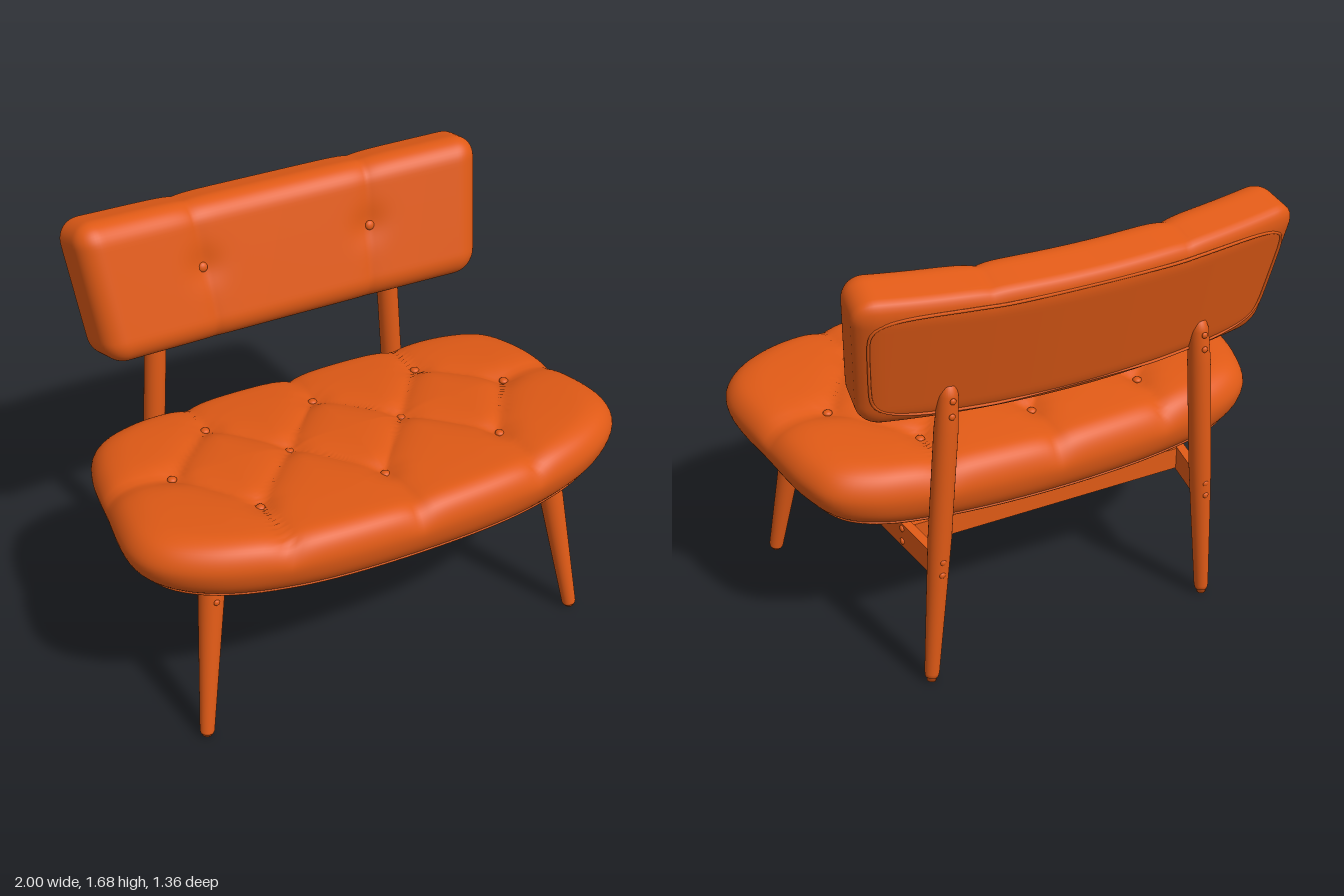
import * as THREE from 'three';
import { mergeVertices } from 'three/addons/utils/BufferGeometryUtils.js';

const V = (x, y, z) => new THREE.Vector3(x, y, z);
const material = new THREE.MeshStandardMaterial({ color: 0xe05a16 });
const { clamp, smoothstep, lerp } = THREE.MathUtils;

function add(parent, name, geometry) {
  const mesh = new THREE.Mesh(geometry, material);
  mesh.name = name;
  parent.add(mesh);
  return mesh;
}

// Small domed stud (button or screw head) facing along a direction
function stud(parent, name, pos, dir, r) {
  const mesh = add(parent, name, new THREE.SphereGeometry(r, 16, 10));
  mesh.position.copy(pos);
  mesh.scale.z = 0.6;
  mesh.lookAt(pos.clone().add(dir));
  return mesh;
}

// Round tapered post from a to b; profile lists [radius, fraction of length]
function post(parent, name, a, b, profile) {
  const length = a.distanceTo(b);
  const pts = profile.map(([r, t]) => new THREE.Vector2(r, t * length));
  const mesh = add(parent, name, new THREE.LatheGeometry(pts, 28));
  mesh.position.copy(a);
  mesh.quaternion.setFromUnitVectors(V(0, 1, 0), b.clone().sub(a).normalize());
}

// Flat wooden rail between two points
function rail(parent, name, a, b, height, thickness) {
  const mesh = add(parent, name, new THREE.BoxGeometry(thickness, height, a.distanceTo(b)));
  mesh.position.copy(a).lerp(b, 0.5);
  mesh.lookAt(b);
}

// Seat tufting: buttons and the seams that join them
const back = [[-0.46, -0.21], [0, -0.21], [0.46, -0.21]];
const middle = [[-0.71, 0.06], [-0.24, 0.075], [0.24, 0.075], [0.71, 0.06]];
const front = [[-0.5, 0.37], [0, 0.385], [0.5, 0.37]];
const seatButtons = [...back, ...middle, ...front];
const seams = [[middle[0], [-1, 0.035]], [middle[3], [1, 0.035]]];
for (let i = 0; i < 3; i++) {
  for (const row of [back, front]) seams.push([row[i], middle[i]], [row[i], middle[i + 1]]);
  seams.push([back[i], [back[i][0], -0.5]], [front[i], [front[i][0] * 1.03, 0.72]]);
}

function seamDistance(x, z, [[ax, az], [bx, bz]]) {
  const dx = bx - ax, dz = bz - az;
  const t = clamp(((x - ax) * dx + (z - az) * dz) / (dx * dx + dz * dz), 0, 1);
  return Math.hypot(x - ax - t * dx, z - az - t * dz);
}

function seatDip(x, z) {
  const d = Math.min(...seams.map((s) => seamDistance(x, z, s)));
  const b = Math.min(...seatButtons.map(([bx, bz]) => Math.hypot(x - bx, z - bz)));
  return 0.024 * Math.exp(-d / 0.05) + 0.016 * Math.exp(-((b / 0.06) ** 2));
}

const seatBase = (x, z) => 0.612 + 0.07 * z + 0.045 * x * x;

// Seat outline in plan, mirrored to a closed curve
function seatOutline(count) {
  const half = [[0, 0.685], [0.5, 0.66], [0.8, 0.58], [0.95, 0.47], [1, 0.35], [0.97, 0.05],
    [0.93, -0.2], [0.87, -0.33], [0.75, -0.4], [0.5, -0.445], [0, -0.465]];
  const mirrored = half.slice(1, -1).reverse().map(([x, z]) => [-x, z]);
  const pts = [...half, ...mirrored].map(([x, z]) => V(x, 0, z));
  return new THREE.CatmullRomCurve3(pts, true).getSpacedPoints(count).slice(0, count);
}

const SEAT_Z = 0.1;

function seatCushion() {
  const n = 180;
  const outline = seatOutline(n);
  // Rings as (scale, height), from the underside centre round to the top centre
  const edge = new THREE.SplineCurve([[0.88, 0], [0.935, 0.025], [0.98, 0.07], [1, 0.13],
    [0.985, 0.18], [0.945, 0.22], [0.88, 0.243], [0.8, 0.25]].map((p) => new THREE.Vector2(...p)));
  const rings = [[0, 0], [0.45, 0], [0.85, 0], ...edge.getPoints(28).map((p) => [p.x, p.y])];
  for (let i = 1; i <= 44; i++) {
    const s = 0.8 * (1 - i / 44);
    rings.push([s, 0.265 - 0.015 * (s / 0.8) ** 2]);
  }
  const pos = [], index = [];
  rings.forEach(([s, h], i) => outline.forEach((p, j) => {
    let x = p.x * s, z = SEAT_Z + (p.z - SEAT_Z) * s;
    const dip = h > 0.08 ? seatDip(x, z) * smoothstep(h, 0.08, 0.23) : 0;
    x *= 1 - dip * 0.4;
    z = SEAT_Z + (z - SEAT_Z) * (1 - dip * 0.4);
    pos.push(x, seatBase(x, z) + h - dip, z);
    if (i === rings.length - 1) return;
    const k = (j + 1) % n, a = i * n, b = a + n;
    index.push(a + j, a + k, b + k, a + j, b + k, b + j);
  }));
  const g = new THREE.BufferGeometry();
  g.setAttribute('position', new THREE.Float32BufferAttribute(pos, 3));
  g.setIndex(index);
  g.computeVertexNormals();
  return g;
}

// Backrest: local pad coordinates bent, tapered and tilted into place
const TILT = -0.26;
function bend(p) {
  p.x *= (1 + 0.12 * p.y) * (1 - 0.15 * p.z);
  p.z += 0.11 * p.x * p.x;
  p.y += 0.03 * p.x * p.x;
  return p.applyAxisAngle(V(1, 0, 0), TILT).add(V(0, 1.37, -0.505));
}

function backPad() {
  const half = V(0.82, 0.275, 0.117);
  let g = new THREE.BoxGeometry(half.x * 2, half.y * 2, half.z * 2, 110, 36, 18);
  g.deleteAttribute('uv');
  g.deleteAttribute('normal');
  g = mergeVertices(g);
  const pos = g.attributes.position, p = V(0, 0, 0);
  for (let i = 0; i < pos.count; i++) {
    p.fromBufferAttribute(pos, i);
    // Soft front edges, tighter back edges
    const r = V(0.09, 0.09, p.z > 0 ? 0.09 : 0.045);
    const inner = half.clone().sub(r);
    const core = p.clone().clamp(inner.clone().negate(), inner);
    p.sub(core).divide(r).normalize().multiply(r).add(core);
    // Two vertical seams and a pulled button on each
    const d = Math.abs(Math.abs(p.x) - 0.35 - 0.03 * p.y);
    const pull = Math.exp(-((Math.hypot(d, p.y - 0.02) / 0.07) ** 2));
    p.z -= smoothstep(p.z, 0, 0.1) * (0.013 * Math.exp(-d / 0.04) + 0.014 * pull);
    p.y -= smoothstep(p.y, 0.15, 0.27) * 0.008 * Math.exp(-d / 0.04);
    bend(p);
    pos.setXYZ(i, p.x, p.y, p.z);
  }
  g.computeVertexNormals();
  return g;
}

const piping = (pts, r) =>
  new THREE.TubeGeometry(new THREE.CatmullRomCurve3(pts, true), 200, r, 6, true);

export function createModel() {
  const model = new THREE.Group();
  model.name = 'loungeChair';

  // Seat
  const seat = new THREE.Group();
  seat.name = 'seat';
  model.add(seat);
  add(seat, 'seatCushion', seatCushion());
  add(seat, 'seatPiping', piping(seatOutline(80).map((p) => {
    const x = p.x * 0.93, z = SEAT_Z + (p.z - SEAT_Z) * 0.93;
    return V(x, seatBase(x, z) + 0.022, z);
  }), 0.007));
  for (const [x, z] of seatButtons)
    stud(seat, 'seatButton', V(x, seatBase(x, z) + 0.262 - seatDip(x, z), z), V(0, 1, 0), 0.018);

  // Backrest
  const backrest = new THREE.Group();
  backrest.name = 'backrest';
  model.add(backrest);
  add(backrest, 'backCushion', backPad());
  const root = (v) => Math.sign(v) * Math.abs(v) ** 0.3;
  add(backrest, 'backPiping', piping(Array.from({ length: 80 }, (_, i) => {
    const a = (i + 0.5) / 80 * Math.PI * 2;
    return bend(V(0.775 * root(Math.cos(a)), 0.23 * root(Math.sin(a)), -0.114));
  }), 0.006));

  // Wooden frame, mirrored left and right
  const frame = new THREE.Group();
  frame.name = 'frame';
  model.add(frame);
  for (const s of [1, -1]) {
    stud(backrest, 'backButton', bend(V(s * 0.358, 0.02, 0.094)), V(0, 0.26, 1), 0.019);

    const foot = [[0, 0], [0.018, 0], [0.018, 0.015], [0.025, 0.016], [0.028, 0.03]];
    post(frame, 'frontLeg', V(s * 0.805, 0, 0.5), V(s * 0.71, 0.66, 0.395),
      [...foot, [0.05, 0.93], [0.048, 0.99], [0, 1]]);
    post(frame, 'backPost', V(s * 0.59, 0, -0.545), V(s * 0.497, 1.26, -0.545),
      [...foot, [0.038, 0.33], [0.043, 0.5], [0.043, 0.85], [0.036, 0.96], [0.025, 0.99], [0, 1]]);

    const a = V(s * 0.68, 0.575, 0.37), b = V(s * 0.555, 0.513, -0.53);
    rail(frame, 'sideRail', a, b, 0.1, 0.035);

    // Screw heads on rails, legs and posts
    for (const z of [0.28, -0.34]) for (const dy of [0.03, -0.025]) {
      const t = (a.z - z) / (a.z - b.z);
      stud(frame, 'railScrew', V(lerp(a.x, b.x, t) + s * 0.019, lerp(a.y, b.y, t) + dy, z),
        V(s, 0, 0), 0.013);
    }
    for (const y of [0.63, 0.58])
      stud(frame, 'legScrew', V(s * 0.722, y, 0.4 + (0.66 - y) * 0.16 + 0.046), V(0, 0, 1), 0.012);
    for (const y of [1.2, 1.14, 0.545, 0.49])
      stud(frame, 'postScrew', V(s * (0.59 - 0.074 * y), y, y > 1 ? -0.586 : -0.583), V(0, 0, -1), 0.012);
  }
  rail(frame, 'frontRail', V(-0.66, 0.572, 0.28), V(0.66, 0.572, 0.28), 0.09, 0.035);
  rail(frame, 'rearRail', V(-0.575, 0.525, -0.34), V(0.575, 0.525, -0.34), 0.09, 0.035);

  return model;
}
